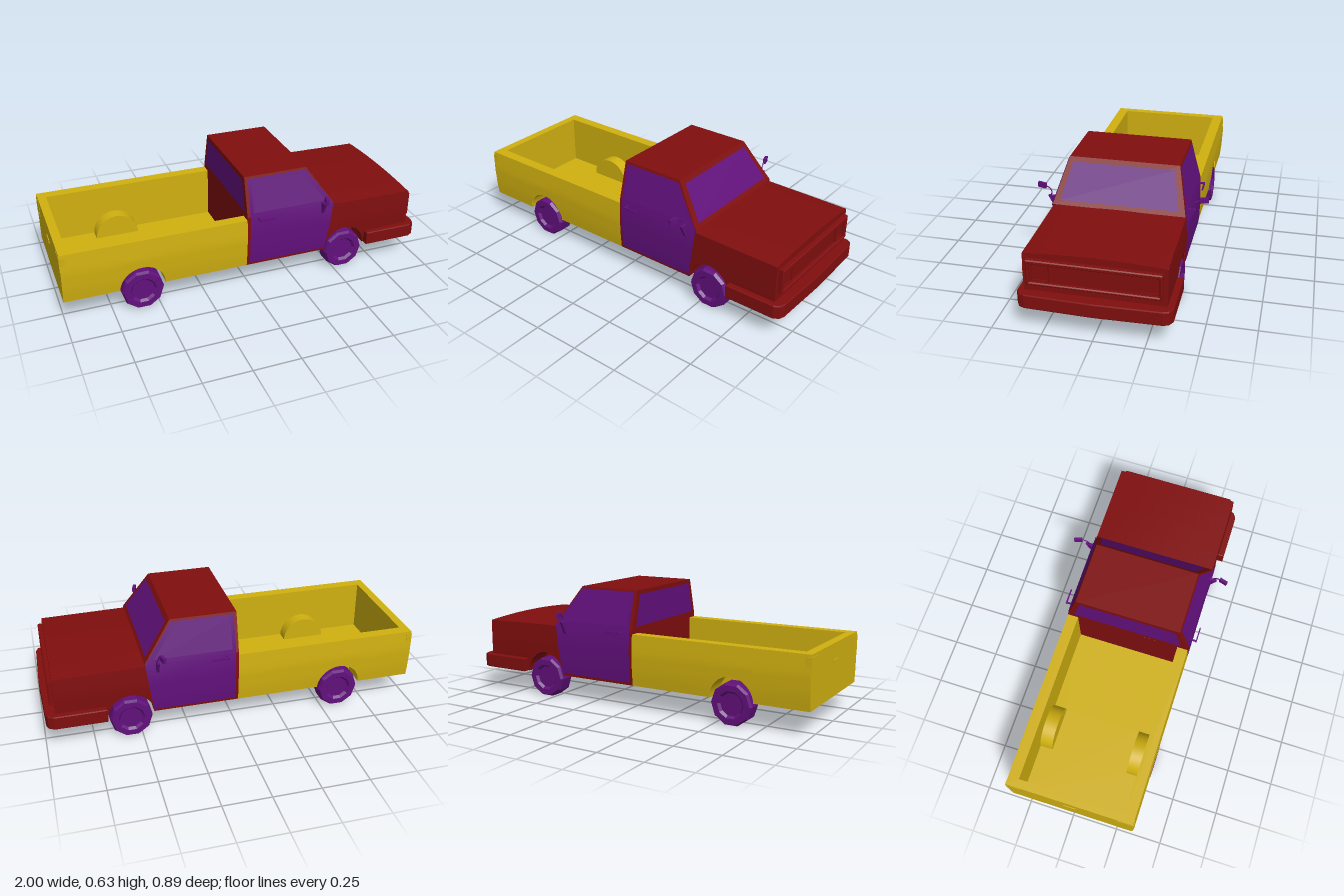
import * as THREE from 'three';

const paint = (color, flatShading = false) =>
  new THREE.MeshStandardMaterial({ color, flatShading, side: THREE.DoubleSide });
const RED = paint(0x800e0e), YELLOW = paint(0xd0b010), PURPLE = paint(0x62107c), WHEEL = paint(0x62107c, true);

const BASE = 0.13, RIM = 0.405, ARCH = 0.12, WELL = 0.215;
const REAR_AXLE = -0.59, FRONT_AXLE = 0.555;
const lerp = THREE.MathUtils.lerp;
const range = (a, b, n) => Array.from({ length: n + 1 }, (_, i) => lerp(a, b, i / n));

// Piecewise linear lookup through [input, output] pairs
function along(pairs, t) {
  let i = 1;
  while (i < pairs.length - 1 && t > pairs[i][0]) i++;
  const [a, b] = [pairs[i - 1], pairs[i]];
  return lerp(a[1], b[1], (t - a[0]) / (b[0] - a[0]));
}
// Half width of the bodywork at a given height
const cabWidth = y => along([[0.13, 0.337], [0.2, 0.343], [0.3, 0.346], [0.42, 0.342], [0.63, 0.286]], y);
const bedWidth = y => along([[0.13, 0.337], [0.2, 0.345], [0.3, 0.35], [0.405, 0.343]], y);
const hoodY = (x, z) => 0.422 - (x - 0.475) * 0.016 - 0.014 * (z / 0.342) ** 2;

// Surface grid over two lists of parameters
function grid(us, vs, fn) {
  const pos = [], index = [], n = vs.length;
  us.forEach(u => vs.forEach(v => pos.push(...fn(u, v))));
  for (let i = 0; i < us.length - 1; i++) for (let j = 0; j < n - 1; j++) {
    const a = i * n + j;
    index.push(a, a + n, a + 1, a + 1, a + n, a + n + 1);
  }
  const g = new THREE.BufferGeometry();
  g.setAttribute('position', new THREE.Float32BufferAttribute(pos, 3));
  g.setIndex(index);
  g.computeVertexNormals();
  return g;
}
const polygon = pts => new THREE.Shape(pts.map(p => new THREE.Vector2(...p)));
const rect = (a, b, c, d) => polygon([[a, b], [c, b], [c, d], [a, d]]);

// Side wall with a round wheel opening
function archedWall(x0, x1, axle, top, zAt, extra = []) {
  const arc = range(Math.PI, 0, 20).map(t => axle + ARCH * Math.cos(t));
  const xs = [x0, x1, ...arc, ...extra].sort((a, b) => a - b);
  return grid(xs, range(0, 1, 10), (x, t) => {
    const bottom = BASE + Math.sqrt(Math.max(0, ARCH ** 2 - (x - axle) ** 2));
    const y = lerp(bottom, top(x), t);
    return [x, y, zAt(y)];
  });
}
// Floor plate with four-cornered gaps for the wheel wells
function floorPlate(x0, x1, axle) {
  const W = 0.337, half = [[x0, W], [axle - ARCH, W], [axle - ARCH, WELL], [axle + ARCH, WELL], [axle + ARCH, W], [x1, W]];
  const other = half.map(([x, z]) => [x, -z]).reverse();
  return new THREE.ShapeGeometry(polygon([...half, ...other])).rotateX(Math.PI / 2).translate(0, BASE, 0);
}

export function createModel() {
  const truck = new THREE.Group();
  truck.name = 'pickupTruck';
  const add = (name, geometry, material, parent = truck) => {
    const mesh = new THREE.Mesh(geometry, material);
    mesh.name = name;
    parent.add(mesh);
    return mesh;
  };
  const box = (name, size, at, material, parent) =>
    add(name, new THREE.BoxGeometry(...size).translate(...at), material, parent);

  // Cargo bed
  add('bedFloor', floorPlate(-1, -0.02, REAR_AXLE), YELLOW);
  const rim = rect(-1, -0.343, -0.02, 0.343);
  rim.holes.push(rect(-0.955, -0.285, -0.02001, 0.285));
  add('bedRim', new THREE.ShapeGeometry(rim).rotateX(Math.PI / 2).translate(0, RIM, 0), YELLOW);
  add('tailgateOuter', grid(range(-1, 1, 1), range(BASE, RIM, 10), (s, y) => [-1, y, s * bedWidth(y)]), YELLOW);
  add('tailgateInner', grid([-0.285, 0.285], [BASE, RIM], (z, y) => [-0.955, y, z]), YELLOW);
  box('tailgateHandle', [0.008, 0.022, 0.07], [-1, 0.31, 0], YELLOW);

  // Cab: roof block, back wall and floor
  const roofLine = polygon([[-0.02, 0.42], [0.475, 0.42], [0.33, 0.63], [-0.02, 0.63]]);
  const roof = new THREE.ExtrudeGeometry(roofLine, { depth: 2, bevelEnabled: false }).translate(0, 0, -1);
  const p = roof.attributes.position;
  for (let i = 0; i < p.count; i++) p.setZ(i, p.getZ(i) * cabWidth(p.getY(i)));
  roof.computeVertexNormals();
  add('cabRoof', roof, RED);
  add('cabBack', grid([-1, 1], range(BASE, 0.42, 10), (s, y) => [-0.02, y, s * cabWidth(y)]), RED);
  add('cabFloor', floorPlate(-0.02, 0.94, FRONT_AXLE), RED);

  // Hood and nose
  add('hood', grid(range(0.46, 0.94, 4), range(-0.342, 0.342, 16), (x, z) => [x, hoodY(x, z), z]), RED);
  add('nose', grid(range(-1, 1, 16), range(0, 1, 10), (s, t) => {
    const y = lerp(BASE, hoodY(0.94, s * 0.342), t);
    return [0.94, y, s * cabWidth(y)];
  }), RED);

  // Windshield and rear window
  const glassHalf = y => along([[0.44, 0.305], [0.608, 0.264]], y);
  const slopeX = y => 0.33 + (0.63 - y) * 0.69;
  add('windshield', grid([-1, 1], [0.44, 0.608], (s, y) => [slopeX(y) + 0.003, y + 0.002, s * glassHalf(y)]), PURPLE);
  add('rearWindow', grid([-1, 1], [0.44, 0.608], (s, y) => [-0.023, y, s * glassHalf(y)]), PURPLE);

  // Grille surround with square lamps, extruded toward +x
  const towardFront = (shape, depth, x, bevel = 0) => new THREE.ExtrudeGeometry(shape, {
    depth, bevelEnabled: bevel > 0, bevelThickness: bevel, bevelSize: bevel, bevelOffset: -bevel, bevelSegments: 1,
  }).rotateY(Math.PI / 2).translate(x, 0, 0);
  const surround = rect(-0.323, 0.245, 0.323, 0.378);
  surround.holes.push(rect(-0.308, 0.26, 0.308, 0.357));
  add('grilleSurround', towardFront(surround, 0.022, 0.938, 0.005), RED);
  box('grillePanel', [0.01, 0.1, 0.62], [0.942, 0.309, 0], RED);

  // Wraparound bumper
  const bumper = polygon([[0.685, -0.37], [0.95, -0.37], [0.976, -0.355], [0.986, -0.33], [0.995, 0],
    [0.986, 0.33], [0.976, 0.355], [0.95, 0.37], [0.685, 0.37]]);
  add('frontBumper', new THREE.ExtrudeGeometry(bumper, {
    depth: 0.064, bevelThickness: 0.005, bevelSize: 0.005, bevelSegments: 2,
  }).rotateX(Math.PI / 2).translate(0, 0.199, 0), RED);

  // Door outline: front edge follows the fender and windshield pillar
  const doorFront = y => along([[0.145, 0.435], [0.3, 0.458], [0.42, 0.473], [0.62, 0.325]], y);

  for (const s of [1, -1]) {
    const side = new THREE.Group();
    side.name = s > 0 ? 'nearSide' : 'farSide';
    truck.add(side);

    // Bed side walls, inner and outer
    add('bedOuterWall', archedWall(-1, -0.02, REAR_AXLE, () => RIM, y => s * bedWidth(y)), YELLOW, side);
    add('bedInnerWall', archedWall(-0.955, -0.02, REAR_AXLE, () => RIM, () => s * 0.285), YELLOW, side);
    box('tailLight', [0.03, 0.085, 0.085], [-0.987, 0.348, s * 0.3045], YELLOW, side);

    // Cab side and fender in one skin
    const fenderTop = x => (x < 0.474 ? 0.42 : hoodY(x, 0.342));
    add('cabSide', archedWall(-0.02, 0.94, FRONT_AXLE, fenderTop, y => s * cabWidth(y), [0.4735, 0.475]), RED, side);

    // Wheel wells
    for (const [axle, mat] of [[REAR_AXLE, YELLOW], [FRONT_AXLE, RED]]) {
      add('wheelWell', grid(range(0, Math.PI, 20), [WELL, 0.338],
        (t, z) => [axle + ARCH * Math.cos(t), BASE + ARCH * Math.sin(t), s * z]), mat, side);
      add('wheelWellEnd', new THREE.CircleGeometry(ARCH, 20, 0, Math.PI).translate(axle, BASE, s * WELL), mat, side);
    }

    // Door with window and handle
    const doorYs = [0.145, 0.2, 0.3, 0.42, 0.62];
    add('door', grid([0, 1], doorYs, (t, y) => [lerp(-0.004, doorFront(y), t), y, s * (cabWidth(y) + 0.004)]), PURPLE, side);
    add('doorWindow', grid([0, 1], [0.442, 0.605],
      (t, y) => [lerp(0.015, doorFront(y) - 0.03, t), y, s * (cabWidth(y) + 0.007)]), PURPLE, side);
    box('doorHandle', [0.085, 0.012, 0.006], [0.08, 0.408, s * 0.374], PURPLE, side);
    box('handlePost', [0.008, 0.01, 0.032], [0.043, 0.408, s * 0.358], PURPLE, side);

    // Mirror: bracket, curved arm and head
    const bracket = polygon([[-s * 0.34, 0.365], [-s * 0.35, 0.37], [-s * 0.384, 0.437], [-s * 0.34, 0.437]]);
    add('mirrorBracket', towardFront(bracket, 0.014, 0.403), PURPLE, side);
    const arm = new THREE.CatmullRomCurve3([[0.41, 0.435, 0.369], [0.408, 0.458, 0.367], [0.405, 0.474, 0.378],
      [0.4, 0.483, 0.402]].map(([x, y, z]) => new THREE.Vector3(x, y, s * z)));
    add('mirrorArm', new THREE.TubeGeometry(arm, 12, 0.003, 6), PURPLE, side);
    const head = box('mirrorHead', [0.016, 0.027, 0.045], [0, 0, 0], PURPLE, side);
    head.position.set(0.394, 0.483, s * 0.421);
    head.rotation.y = -s * 0.3;

    // Headlight frame and lens
    const frame = rect(-s * 0.305, 0.265, -s * 0.215, 0.357);
    frame.holes.push(rect(-s * 0.296, 0.274, -s * 0.224, 0.348));
    add('headlightFrame', towardFront(frame, 0.014, 0.943), RED, side);
    box('headlight', [0.006, 0.074, 0.072], [0.948, 0.311, s * 0.26], RED, side);
  }

  // Ten-sided wheels with dished hubs, joined by axles
  const tyre = [[0, 0.245], [0.1, 0.245], [0.112, 0.255], [0.112, 0.328], [0.103, 0.344], [0.072, 0.344], [0.06, 0.33], [0, 0.33]];
  for (const [name, x] of [['rear', REAR_AXLE], ['front', FRONT_AXLE]]) {
    for (const s of [1, -1]) {
      const wheel = new THREE.LatheGeometry(tyre.map(q => new THREE.Vector2(...q)), 10, Math.PI / 2);
      add(name + 'Wheel', wheel.rotateX(s * Math.PI / 2).translate(x, 0.1066, 0), WHEEL);
    }
    add(name + 'Axle', new THREE.CylinderGeometry(0.02, 0.02, 0.5, 12).rotateX(Math.PI / 2).translate(x, 0.11, 0), PURPLE);
  }
  return truck;
}
